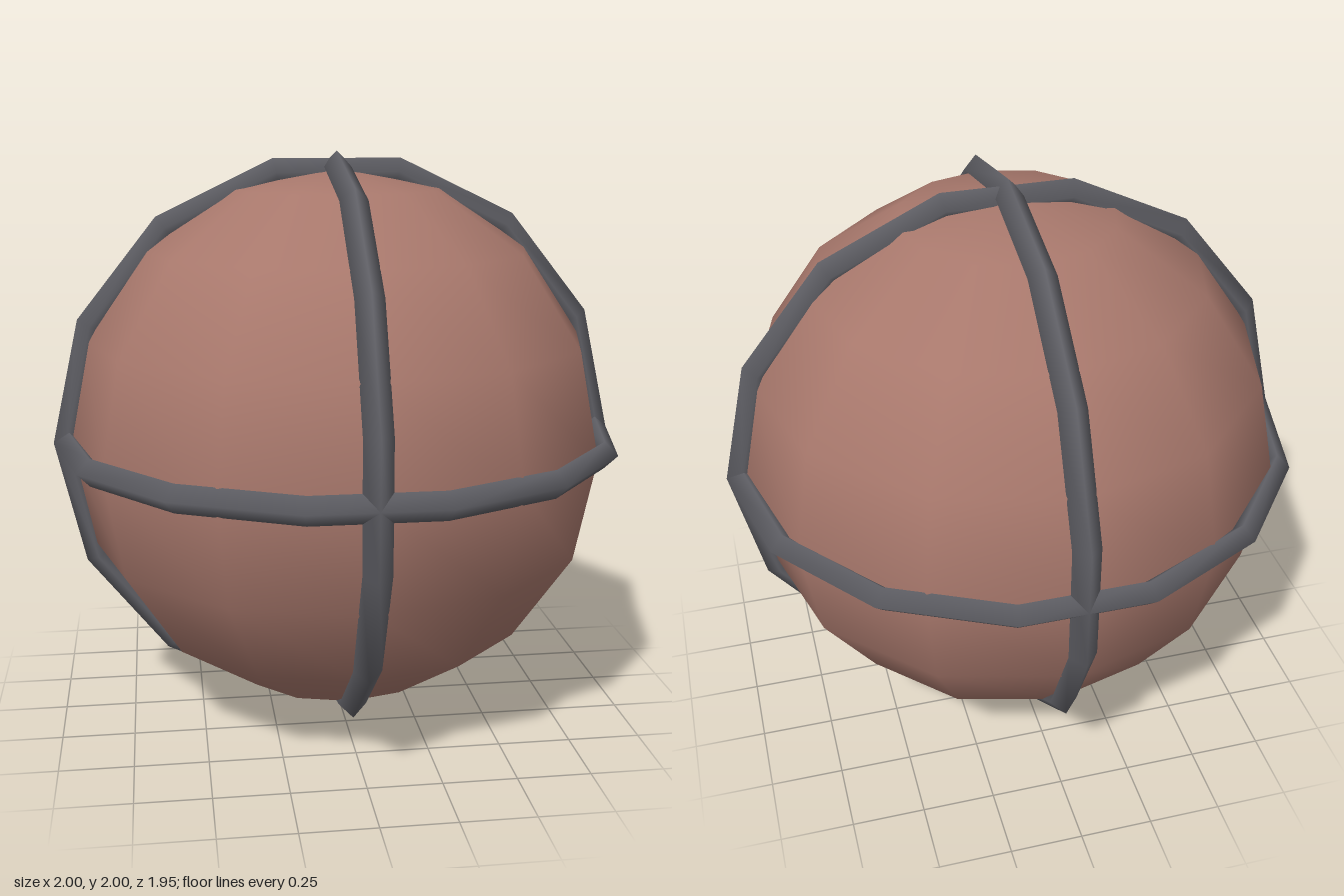
import * as THREE from 'three';

export function createModel() {
  const model = new THREE.Group();
  model.name = 'bandedBall';

  const clay = new THREE.MeshStandardMaterial({ color: 0xa8786c });
  clay.name = 'clay brown';
  const iron = new THREE.MeshStandardMaterial({ color: 0x606066 });
  iron.name = 'iron grey';

  const add = (name, geometry, material) => {
    const mesh = new THREE.Mesh(geometry, material);
    mesh.name = name;
    mesh.position.y = 1;
    model.add(mesh);
  };

  // Smooth-shaded low-poly ball
  add('ball', new THREE.SphereGeometry(0.944, 12, 8), clay);

  // Three bands at right angles, each a 14-sided ring of square section
  const ring = () => new THREE.TorusGeometry(0.953, 0.047, 4, 14);
  add('frontBand', ring(), iron);
  add('equatorBand', ring().rotateX(Math.PI / 2), iron);
  // corners of this one sit at top and bottom
  add('sideBand', ring().rotateZ(Math.PI / 2).rotateY(Math.PI / 2), iron);

  return model;
}
